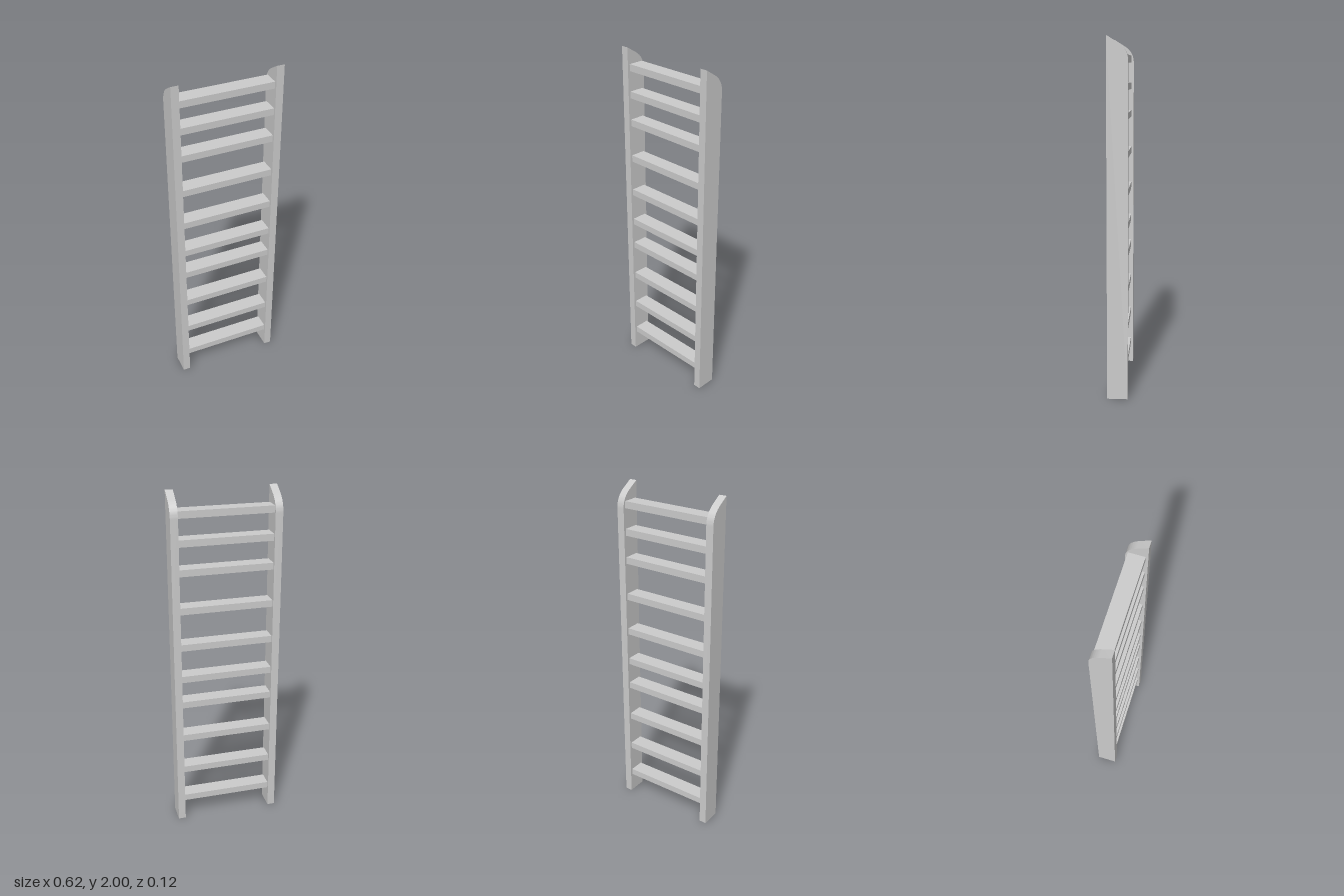
import * as THREE from 'three';
import { toCreasedNormals } from 'three/addons/utils/BufferGeometryUtils.js';

export function createModel() {
  const model = new THREE.Group();
  model.name = 'ladder';
  const material = new THREE.MeshStandardMaterial({ color: 0xcccccc });

  const railX = 0.2875, railWidth = 0.043, halfDepth = 0.058;

  // Side rails: profile in z/y, with the top sloping back into a rounded shoulder
  const profile = new THREE.Shape();
  profile.moveTo(-halfDepth, 0);
  profile.lineTo(halfDepth, 0);
  profile.lineTo(halfDepth, 2);
  profile.lineTo(0.005, 1.967);
  profile.bezierCurveTo(-0.033, 1.945, -halfDepth, 1.912, -halfDepth, 1.865);
  profile.closePath();
  const extruded = new THREE.ExtrudeGeometry(profile, {
    depth: railWidth, bevelEnabled: false, curveSegments: 16,
  });
  extruded.translate(0, 0, -railWidth / 2).rotateY(-Math.PI / 2);
  const railGeometry = toCreasedNormals(extruded, 0.4);
  for (const [name, side] of [['leftRail', 1], ['rightRail', -1]]) {
    const rail = new THREE.Mesh(railGeometry, material);
    rail.name = name;
    rail.position.x = side * railX;
    model.add(rail);
  }

  // Flat rungs fitted between the rails, at their uneven heights
  const rungGeometry = new THREE.BoxGeometry(2 * railX - railWidth, 0.039, 0.089);
  const heights = [0.139, 0.341, 0.558, 0.776, 0.939, 1.135, 1.352, 1.57, 1.733, 1.887];
  heights.forEach((y, i) => {
    const rung = new THREE.Mesh(rungGeometry, material);
    rung.name = `rung${i + 1}`;
    rung.position.y = y;
    model.add(rung);
  });

  return model;
}
